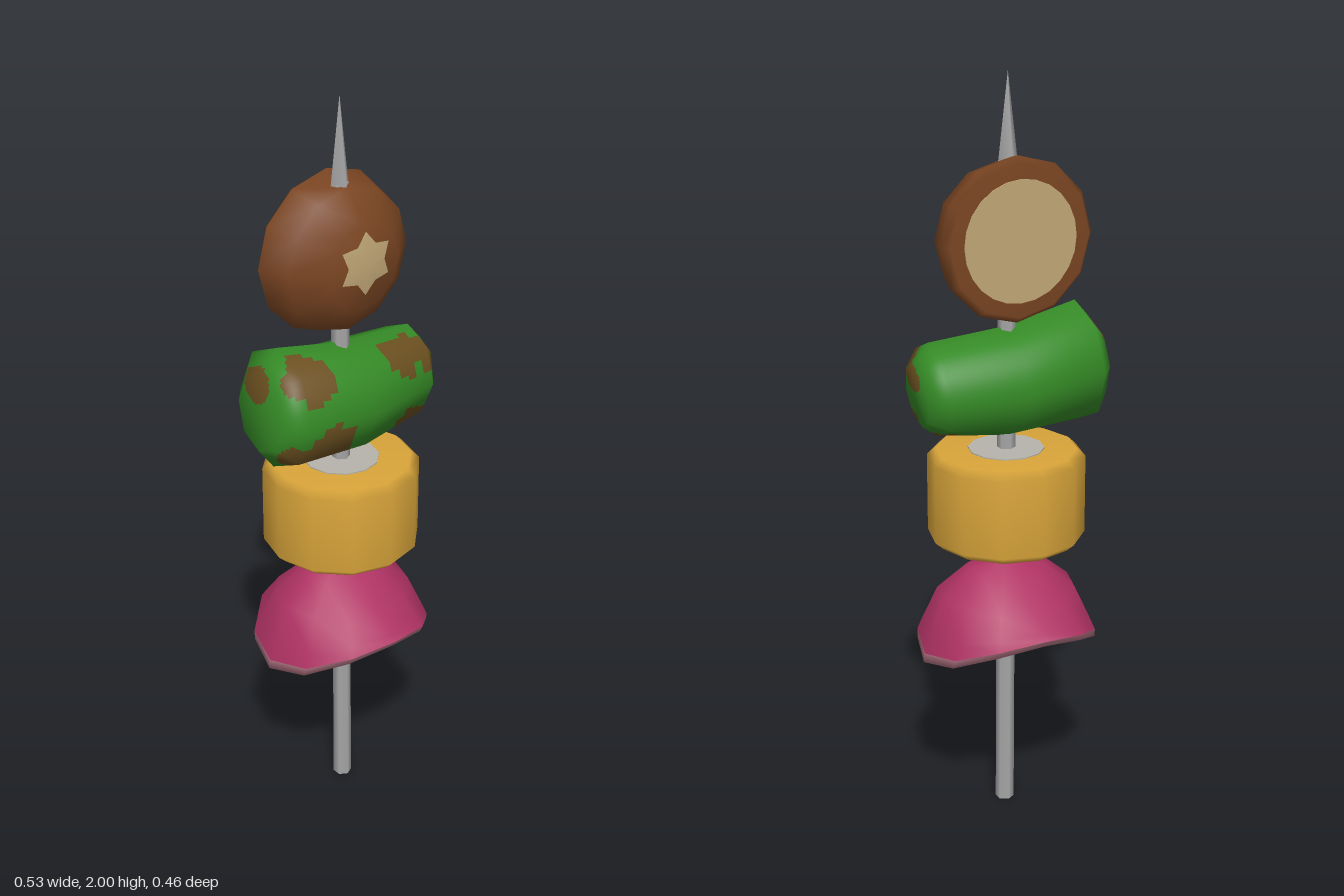
import * as THREE from 'three';

const mat = (name, color, opts = {}) => {
  const m = new THREE.MeshStandardMaterial({ color, ...opts });
  m.name = name;
  return m;
};

// Skins closed rings of points; each cell is split n times and sorted into two groups by a test
function loft(rings, n = 1, test = () => false) {
  const sides = rings[0].length;
  const coarse = new THREE.BufferGeometry().setFromPoints(rings.flat());
  const id = (i, j) => i * sides + (j % sides);
  const index = [];
  const cells = [];
  for (let i = 0; i < rings.length - 1; i++) {
    for (let j = 0; j < sides; j++) {
      const [a, b, c, d] = [id(i, j), id(i, j + 1), id(i + 1, j), id(i + 1, j + 1)];
      index.push(a, b, c, b, d, c);
      cells.push([a, b, c, d]);
    }
  }
  coarse.setIndex(index);
  coarse.computeVertexNormals();
  const get = (attr, k) => new THREE.Vector3().fromBufferAttribute(coarse.attributes[attr], k);
  const points = [], normals = [], groups = [[], []];
  for (const cell of cells) {
    const base = points.length;
    const [p, q] = ['position', 'normal'].map((attr) => cell.map((k) => get(attr, k)));
    const mix = (v, s, t) => v[0].clone().lerp(v[1], s).lerp(v[2].clone().lerp(v[3], s), t);
    for (let t = 0; t <= n; t++) {
      for (let s = 0; s <= n; s++) {
        points.push(mix(p, s / n, t / n));
        normals.push(mix(q, s / n, t / n).normalize());
      }
    }
    for (let t = 0; t < n; t++) {
      for (let s = 0; s < n; s++) {
        const a = base + t * (n + 1) + s, c = a + n + 1;
        const spot = test(mix(p, (s + 0.5) / n, (t + 0.5) / n));
        groups[spot ? 1 : 0].push(a, a + 1, c, a + 1, c + 1, c);
      }
    }
  }
  const geo = new THREE.BufferGeometry().setFromPoints(points);
  geo.setAttribute('normal', new THREE.Float32BufferAttribute(normals.flatMap((v) => v.toArray()), 3));
  geo.setIndex(groups.flat());
  geo.addGroup(0, groups[0].length, 0);
  geo.addGroup(groups[0].length, groups[1].length, 1);
  return geo;
}

const around = (sides, f) => Array.from({ length: sides }, (_, j) => {
  const t = (j / sides) * Math.PI * 2;
  return f(Math.cos(t), Math.sin(t));
});

const lathe = (pts) => new THREE.LatheGeometry(pts.map(([r, y]) => new THREE.Vector2(r, y)), 12);

export function createModel() {
  const steel = mat('steel', 0xa8a8a8);
  const brown = mat('mushroomBrown', 0x7a4522);
  const cream = mat('mushroomCream', 0xc2a878);
  const green = mat('pepperGreen', 0x358a26);
  const char = mat('pepperChar', 0x6b5020);
  const yellow = mat('cornYellow', 0xd8a43a);
  const pith = mat('cornPith', 0xb5b3ac);
  const magenta = mat('onionSkin', 0xb03364);
  const pink = mat('onionFlesh', 0xb87888);

  const model = new THREE.Group();
  model.name = 'vegetableSkewer';
  const add = (name, geo, material, parent = model) => {
    const mesh = new THREE.Mesh(geo, material);
    mesh.name = name;
    parent.add(mesh);
    return mesh;
  };
  const group = (name) => {
    const g = new THREE.Group();
    g.name = name;
    model.add(g);
    return g;
  };

  // Metal skewer with a four-sided point
  const shaft = add('skewerShaft', new THREE.CylinderGeometry(0.023, 0.025, 1.78, 6), steel);
  shaft.position.y = 0.89;
  shaft.rotation.z = 0.005;
  add('skewerTip', new THREE.ConeGeometry(0.028, 0.23, 4), steel).position.set(-0.005, 1.885, 0);

  // Halved mushroom: domed cap to the front, flat cut face behind
  const mushroom = group('mushroom');
  mushroom.position.set(-0.002, 1.588, 0);
  add('mushroomCap', lathe([[0, -0.075], [0.195, -0.075], [0.212, -0.055], [0.187, 0.03],
    [0.11, 0.09], [0, 0.107]]).rotateX(Math.PI / 2), brown, mushroom);
  const cut = add('mushroomCutFace', new THREE.CylinderGeometry(0.157, 0.157, 0.004, 24), cream, mushroom);
  cut.rotation.x = Math.PI / 2;
  cut.position.z = -0.076;
  // Star cut that follows the slope of the cap
  const star = new THREE.CircleGeometry(1, 12);
  const sp = star.attributes.position;
  for (let i = 0; i < sp.count; i++) {
    const r = i === 0 ? 0 : i % 2 ? 0.056 : 0.083;
    sp.setXYZ(i, sp.getX(i) * r, sp.getY(i) * r, 0.11 - r * 0.155);
  }
  star.computeVertexNormals();
  add('mushroomStar', star, cream, mushroom).position.y = 0.012;

  // Pepper piece along x: [x, lean of the top, centre y, half height, half depth]
  const pepperRings = [
    [-0.258, 0, 1.235, 0, 0], [-0.257, 0.007, 1.235, 0.105, 0.09], [-0.21, 0.01, 1.235, 0.163, 0.145],
    [0, 0, 1.207, 0.147, 0.142], [0.21, 0.01, 1.215, 0.125, 0.117], [0.252, 0.012, 1.205, 0.085, 0.068],
    [0.254, 0, 1.205, 0, 0],
  ].map(([x, lean, y, h, d]) => around(8, (c, s) => new THREE.Vector3(x + lean * c, y + h * c, d * s)));
  // Charred spots: [x, y, z, radius]
  const spots = [
    [-0.16, 1.34, 0.09, 0.07], [-0.12, 1.14, 0.12, 0.075], [-0.22, 1.13, 0.09, 0.05],
    [0.14, 1.31, 0.08, 0.06], [0.21, 1.28, 0.07, 0.05], [0.17, 1.11, 0.05, 0.075],
    [0.25, 1.25, 0.01, 0.04], [-0.25, 1.3, -0.02, 0.05],
  ];
  const charred = (p) => spots.some(([x, y, z, r]) =>
    Math.hypot(p.x - x, p.y - y, p.z - z) < r * (1 + 0.2 * Math.sin(p.x * 60) * Math.sin(p.y * 55 + 1)));
  add('pepper', loft(pepperRings, 8, charred), [green, char]);

  // Corn slice with pale centre
  const corn = group('corn');
  add('cornKernels', lathe([[0, 0.775], [0.185, 0.775], [0.207, 0.795], [0.207, 1.005],
    [0.185, 1.025], [0, 1.025]]), yellow, corn);
  add('cornCore', new THREE.CylinderGeometry(0.1, 0.1, 0.256, 12), pith, corn).position.y = 0.9;

  // Saddle-shaped onion petal: [half width, half depth, y on the x axis, y on the z axis]
  const petal = (rows) => loft(rows.map(([w, d, yx, yz]) =>
    around(12, (c, s) => new THREE.Vector3(w * c, yx * c * c + yz * s * s, d * s))));
  const rim = [0.243, 0.228, 0.488, 0.563];
  const lip = [0.246, 0.216, 0.463, 0.545];
  const heart = [0.125, 0.12, 0.496, 0.517];
  const onion = group('onion');
  add('onionSkin', petal([[0, 0, 0.735, 0.735], [0.105, 0.105, 0.703, 0.68],
    [0.187, 0.175, 0.635, 0.614], [0.225, 0.213, 0.537, 0.578], rim]), magenta, onion);
  add('onionFlesh', petal([rim, lip, heart]), pink, onion);
  add('onionHeart', petal([heart, [0, 0, 0.507, 0.507]]), magenta, onion);

  return model;
}
